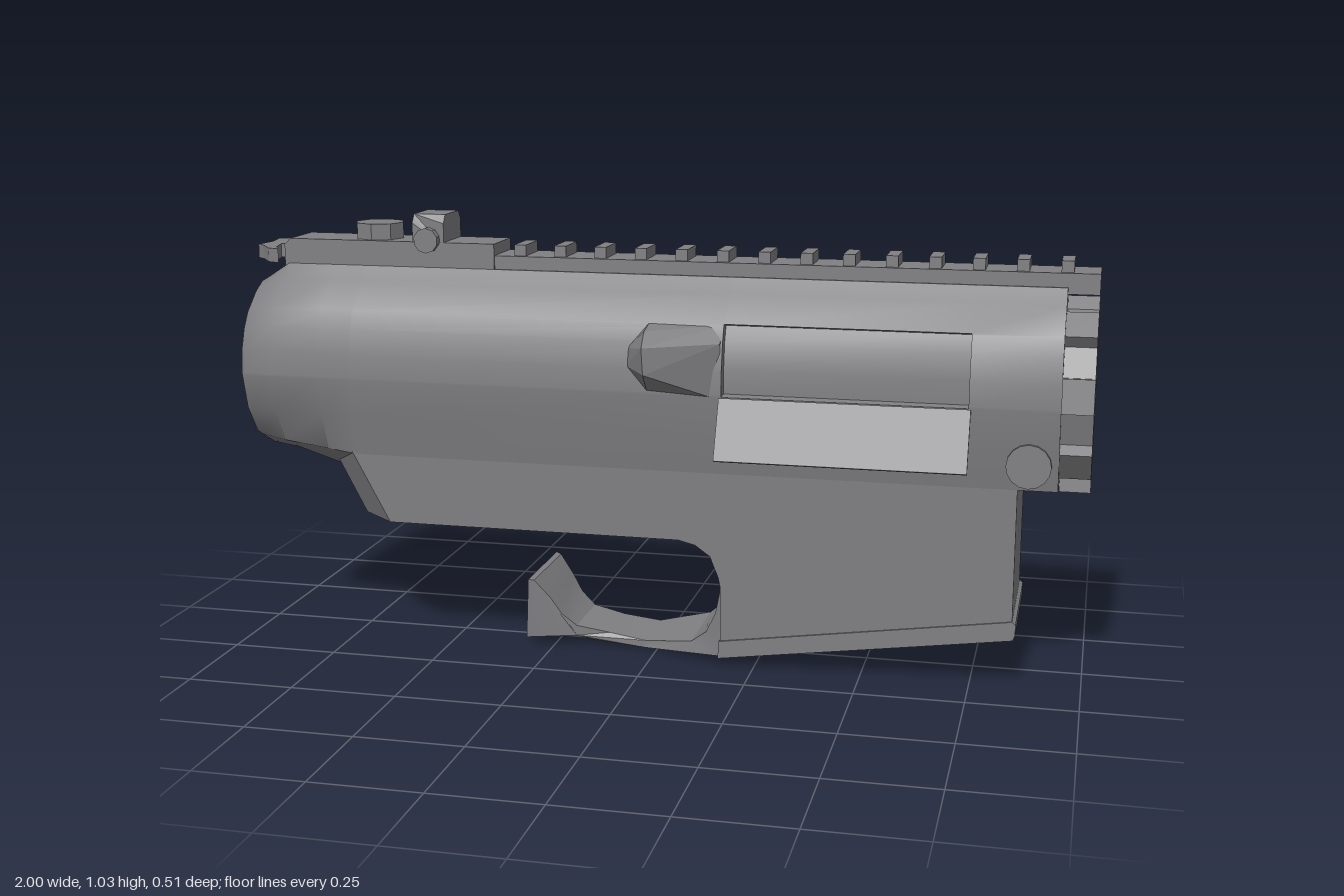
import * as THREE from 'three';
import { toCreasedNormals } from 'three/addons/utils/BufferGeometryUtils.js';
import { ConvexGeometry } from 'three/addons/geometries/ConvexGeometry.js';

const ZC = -0.035; // centre plane of the body
const grey = new THREE.MeshStandardMaterial({ color: 0x808083 });
grey.name = 'gunmetalGrey';

// Skin a list of rings (equal point counts) and cap both ends
function loft(rings) {
  const n = rings[0].length, pos = rings.flat(2), idx = [];
  for (let r = 0; r < rings.length - 1; r++) {
    for (let i = 0; i < n; i++) {
      const a = r * n + i, b = r * n + (i + 1) % n;
      idx.push(a, b, a + n, b, b + n, a + n);
    }
  }
  [0, rings.length - 1].forEach((r, end) => {
    const c = pos.length / 3;
    for (let k = 0; k < 3; k++) pos.push(rings[r].reduce((s, p) => s + p[k], 0) / n);
    for (let i = 0; i < n; i++) {
      const a = r * n + i, b = r * n + (i + 1) % n;
      end ? idx.push(a, b, c) : idx.push(b, a, c);
    }
  });
  // make sure the faces point outwards
  const p = (i) => new THREE.Vector3().fromArray(pos, idx[i] * 3);
  let volume = 0;
  for (let i = 0; i < idx.length; i += 3) volume += p(i).dot(p(i + 1).cross(p(i + 2)));
  if (volume < 0) idx.reverse();
  const g = new THREE.BufferGeometry();
  g.setAttribute('position', new THREE.Float32BufferAttribute(pos, 3));
  g.setIndex(idx);
  return g;
}

// Extrude an x-y outline to z = -1..1, then set its half width by a rule
function slab(points, halfWidth) {
  const shape = new THREE.Shape(points.map(([x, y]) => new THREE.Vector2(x, y)));
  const g = new THREE.ExtrudeGeometry(shape, { depth: 2, bevelEnabled: false });
  g.translate(0, 0, -1);
  const p = g.attributes.position;
  for (let i = 0; i < p.count; i++) p.setZ(i, ZC + p.getZ(i) * halfWidth(p.getX(i), p.getY(i)));
  return g;
}

export function createModel() {
  const group = new THREE.Group();
  const add = (name, geometry, x = 0, y = 0, z = 0, crease = 0.5) => {
    const mesh = new THREE.Mesh(toCreasedNormals(geometry, crease), grey);
    mesh.name = name;
    mesh.position.set(x, y, z);
    group.add(mesh);
    return mesh;
  };
  const box = (name, x0, x1, y0, y1, hw) =>
    add(name, new THREE.BoxGeometry(x1 - x0, y1 - y0, hw * 2), (x0 + x1) / 2, (y0 + y1) / 2, ZC);
  const pin = (name, r, depth, x, y, z, sides = 16) =>
    add(name, new THREE.CylinderGeometry(r, r, depth, sides).rotateX(Math.PI / 2), x, y, z);

  // Upper body: half sections as [half width, y], from top to bottom
  const main = [[0.065, 0.905], [0.1, 0.87], [0.168, 0.812], [0.17, 0.808], [0.185, 0.77], [0.197, 0.71],
    [0.2, 0.655], [0.2, 0.65], [0.19, 0.56], [0.1725, 0.465], [0.05, 0.465]];
  const rear = [[0.05, 0.865], [0.09, 0.845], [0.145, 0.8], [0.147, 0.798], [0.172, 0.76], [0.19, 0.71],
    [0.195, 0.655], [0.195, 0.65], [0.17, 0.56], [0.12, 0.49], [0.05, 0.455]];
  const tail = [...main.slice(0, 8), [0.175, 0.56], [0.13, 0.48], [0.05, 0.445]];
  const belly = [...main.slice(0, 8), [0.185, 0.56], [0.15, 0.47], [0.07, 0.415]];
  const port = [...main.slice(0, 3), [0.145, 0.806], [0.16, 0.77], [0.17, 0.71], [0.17, 0.652], ...main.slice(7)];
  const endCap = rear.map(([w, y]) => [w * 0.95, 0.657 + (y - 0.657) * 0.96]);
  const ring = (x, left, right = left) => [
    ...left.map(([w, y]) => [x, y, ZC + w]),
    ...[...right].reverse().map(([w, y]) => [x, y, ZC - w]),
  ];
  add('upperBody', loft([
    ring(-1, endCap), ring(-0.985, rear), ring(-0.92, tail), ring(-0.8, belly), ring(-0.72, main),
    ring(0.175, main), ring(0.1752, port, main), ring(0.73, port, main), ring(0.7302, main), ring(0.93, main),
  ]), 0, 0, 0, 0.6);

  // Lower body with the slanted well
  const lowerWidth = (x, y) => 0.165 + 0.0075 * THREE.MathUtils.clamp((y - 0.1) / 0.37, 0, 1);
  add('lowerBody', slab([[-0.5, 0.47], [-0.5, 0.3], [0.07, 0.3], [0.11, 0.29], [0.145, 0.265], [0.165, 0.215],
    [0.17, 0.19], [0.17, 0.04], [0.842, 0.135], [0.842, 0.47]], lowerWidth));
  add('wellFlange', slab([[0.165, 0.018], [0.845, 0.113], [0.85, 0.125], [0.85, 0.15], [0.842, 0.157],
    [0.168, 0.06]], () => 0.17));

  // Chamfered rear of the lower body
  const chin = (y, s) => [[-0.82 + s, 0.09], [-0.73 + s, lowerWidth(0, y)], [-0.5, lowerWidth(0, y)],
    [-0.5, -lowerWidth(0, y)], [-0.73 + s, -lowerWidth(0, y)], [-0.82 + s, -0.09]].map(([x, z]) => [x, y, ZC + z]);
  add('lowerRear', loft([chin(0.47, 0), chin(0.3, 0.09)]));

  // Trigger guard, waisted in the middle, with a rear post
  add('triggerGuard', slab([[-0.315, 0.02], [-0.2, 0.02], [-0.16, 0.01], [-0.03, 0], [0.08, 0.01], [0.18, 0.022],
    [0.18, 0.2], [0.17, 0.19], [0.155, 0.12], [0.13, 0.07], [0.09, 0.037], [-0.03, 0.018], [-0.12, 0.03],
    [-0.2, 0.045], [-0.235, 0.075], [-0.26, 0.115], [-0.297, 0.162], [-0.31, 0.165]],
  (x) => 0.075 + (x > -0.1 ? 1.15 : 1.1) * (x + 0.1) ** 2));

  // Notched ring nut at the front end
  const nut = new THREE.Shape();
  const teeth = 8, step = (Math.PI * 2) / teeth;
  for (let i = 0; i < teeth; i++) {
    [[-0.22, 0.225], [0.22, 0.225], [0.26, 0.195], [0.74, 0.195]].forEach(([t, r], k) => {
      const a = (i + t) * step - 0.16;
      nut[i + k ? 'lineTo' : 'moveTo'](Math.cos(a) * r, Math.sin(a) * r);
    });
  }
  add('frontNut', new THREE.ExtrudeGeometry(nut, { depth: 0.07, bevelEnabled: false }).rotateY(Math.PI / 2),
    0.93, 0.655, ZC);

  // Top rail and its cross ribs
  box('rail', -0.42, 1, 0.89, 0.937, 0.06);
  for (let i = 0; i < 14; i++) {
    const x = -0.34 + i * 0.0975;
    box('railRib', x - 0.014, x + 0.014, 0.93, 0.963, 0.048);
  }

  // Rear sight base, knob and sight block with side screws
  add('sightBase', slab([[-0.93, 0.895], [-0.4, 0.895], [-0.4, 0.965], [-0.915, 0.965], [-0.93, 0.95]], () => 0.065));
  add('knob', new THREE.CylinderGeometry(0.06, 0.06, 0.04, 8), -0.71, 0.983, -0.04);
  add('sightBlock', slab([[-0.603, 0.955], [-0.525, 0.955], [-0.525, 1.01], [-0.525, 1.03], [-0.603, 1.03],
    [-0.603, 1.01]], (x, y) => (y > 1.02 ? 0.048 : 0.063)));
  pin('sightScrew', 0.03, 0.16, -0.565, 0.97, ZC, 10);

  // Swept pull handle at the rear
  const handle = [[-0.9, 0.03], [-0.9, -0.03], [-0.95, -0.04], [-0.935, -0.1], [-0.915, -0.137], [-0.945, -0.125],
    [-0.98, -0.075], [-1, -0.06], [-0.99, 0], [-1, 0.06], [-0.98, 0.075], [-0.945, 0.125], [-0.915, 0.137],
    [-0.935, 0.1], [-0.95, 0.04]];
  add('pullHandle', new THREE.ExtrudeGeometry(
    new THREE.Shape(handle.map(([x, z]) => new THREE.Vector2(x, z))), { depth: 0.033, bevelEnabled: false },
  ).rotateX(-Math.PI / 2), 0, 0.915, ZC);

  // Faceted deflector beside the port
  add('deflector', new ConvexGeometry([
    [-0.05, 0.75, 0.14], [-0.05, 0.71, 0.15], [0, 0.81, 0.12], [0.17, 0.808, 0.12], [0.17, 0.64, 0.15],
    [0, 0.65, 0.15], [0.01, 0.77, 0.25], [0.015, 0.71, 0.255], [0.17, 0.77, 0.155], [0.005, 0.8, 0.2],
  ].map((p) => new THREE.Vector3(...p))), 0, 0, 0, 0.1);

  // Hinged port door hanging open
  const door = add('portDoor', new THREE.BoxGeometry(0.565, 0.145, 0.009), 0.453, 0.581, 0.196);
  door.rotation.x = -0.42;

  // Cross pin at the front of the body
  pin('pivotPin', 0.05, 0.4, 0.865, 0.525, ZC);
  return group;
}
